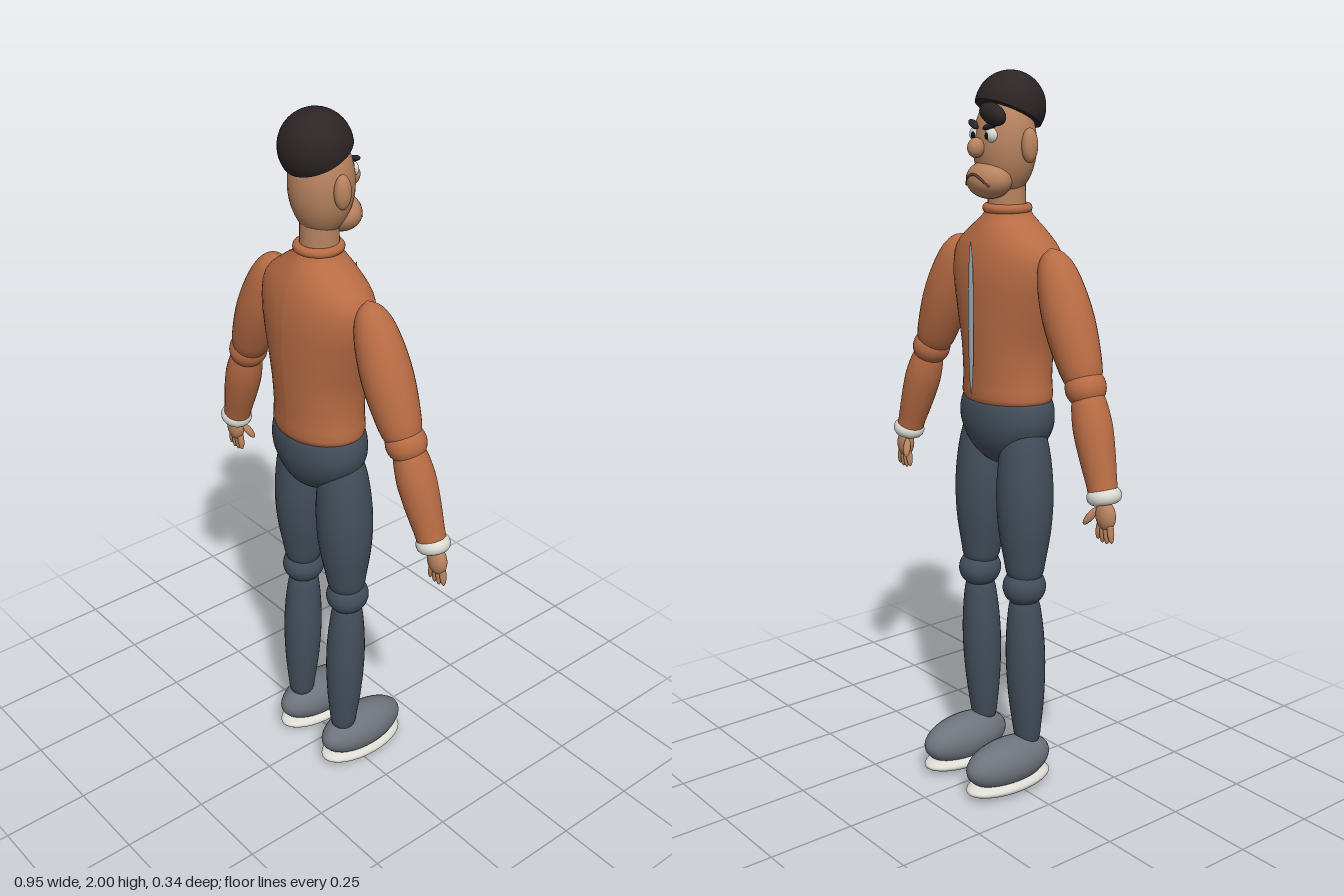
import * as THREE from 'three';

const mat = (name, color) => {
  const m = new THREE.MeshStandardMaterial({ color });
  m.name = name;
  return m;
};
const V = (x, y, z) => new THREE.Vector3(x, y, z);

export function createModel() {
  const skin = mat('skin', 0xb8835f), shirt = mat('shirt', 0xb86c44);
  const trousers = mat('trousers', 0x434e5b), shoeGrey = mat('shoeGrey', 0x6e747c);
  const white = mat('white', 0xdcdcd4), hairDark = mat('hairDark', 0x2c2425);
  const black = mat('black', 0x141214), mouthBrown = mat('mouthBrown', 0x6a4030);
  const metal = mat('metal', 0x93a0a8);
  const model = new THREE.Group();
  model.name = 'figure';

  const add = (name, geometry, material, pos = [0, 0, 0], rot = [0, 0, 0]) => {
    const mesh = new THREE.Mesh(geometry, material);
    mesh.name = name;
    mesh.position.set(...pos);
    mesh.rotation.set(...rot);
    model.add(mesh);
    return mesh;
  };
  // Ellipsoid from centre and half sizes
  const ball = (name, material, pos, size, rot) =>
    add(name, new THREE.SphereGeometry(1, 32, 20).scale(...size), material, pos, rot);
  // Round limb between two points; profile is [radius, fraction along]
  const limb = (name, material, a, b, profile) => {
    const from = V(...a), dir = V(...b).sub(from), len = dir.length();
    const pts = new THREE.SplineCurve(profile.map(([r, t]) => new THREE.Vector2(r, t * len))).getPoints(24);
    pts.forEach(p => { p.x = Math.max(p.x, 0); });
    const mesh = add(name, new THREE.LatheGeometry(pts, 28), material, a);
    mesh.quaternion.setFromUnitVectors(V(0, 1, 0), dir.normalize());
    return mesh;
  };
  // Oval hull through sections [y, half width, half depth], top to bottom
  const hull = (name, material, z, sections) => {
    const curve = new THREE.CatmullRomCurve3(sections.map(s => V(...s)), false, 'centripetal');
    const rows = 30, geo = new THREE.CylinderGeometry(1, 1, 1, 40, rows, true);
    const p = geo.attributes.position;
    for (let i = 0; i < p.count; i++) {
      const s = curve.getPoint(0.5 - p.getY(i) > 1 ? 1 : Math.max(0, 0.5 - p.getY(i)));
      p.setXYZ(i, p.getX(i) * s.y, s.x, p.getZ(i) * s.z);
    }
    geo.computeVertexNormals();
    return add(name, geo, material, [0, 0, z]);
  };

  // Body
  hull('torso', shirt, 0.049, [
    [1.645, 0.0, 0.0], [1.645, 0.055, 0.055], [1.625, 0.07, 0.068], [1.59, 0.12, 0.088], [1.54, 0.178, 0.107],
    [1.48, 0.186, 0.118], [1.4, 0.168, 0.121], [1.28, 0.138, 0.117], [1.19, 0.136, 0.111],
    [1.125, 0.139, 0.106], [1.12, 0.0, 0.0]]);
  hull('hips', trousers, 0.048, [
    [1.135, 0.0, 0.0], [1.135, 0.138, 0.103], [1.08, 0.154, 0.112], [1.03, 0.138, 0.104],
    [0.98, 0.09, 0.08], [0.945, 0.035, 0.035], [0.94, 0.0, 0.0]]);
  add('collar', new THREE.TorusGeometry(0.054, 0.013, 12, 32), shirt, [0, 1.645, 0.047], [Math.PI / 2, 0, 0]);
  add('neck', new THREE.CylinderGeometry(0.05, 0.052, 0.13, 28), skin, [0, 1.665, 0.045]);
  ball('zip', metal, [0, 1.36, -0.077], [0.008, 0.206, 0.007]);

  // Head and hair
  ball('head', skin, [0, 1.81, 0.038], [0.085, 0.136, 0.085]);
  ball('muzzle', skin, [0, 1.722, -0.015], [0.07, 0.05, 0.055]);
  ball('nose', skin, [0, 1.806, -0.058], [0.021, 0.026, 0.024]);
  add('hairCap', new THREE.SphereGeometry(0.094, 36, 20, 0, Math.PI * 2, 0, Math.PI * 0.565),
    hairDark, [0, 1.906, 0.056], [0.45, 0, 0]);
  add('hairUnderside', new THREE.CircleGeometry(0.092, 36).rotateX(Math.PI / 2).translate(0, -0.019, 0),
    hairDark, [0, 1.906, 0.056], [0.45, 0, 0]);
  ball('hairTuft', hairDark, [-0.04, 1.892, -0.035], [0.056, 0.028, 0.021], [0, -0.1, 0.2]);
  // Frowning mouth wrapped over the muzzle
  const frown = [-1, -0.5, 0, 0.5, 1].map(u => {
    const x = 0.048 * u, y = 0.016 - 0.03 * u * u;
    return V(x, 1.722 + y, -0.015 - 0.055 * Math.sqrt(1 - (x / 0.07) ** 2 - (y / 0.05) ** 2));
  });
  add('mouth', new THREE.TubeGeometry(new THREE.CatmullRomCurve3(frown), 24, 0.0035, 8), mouthBrown);

  for (const s of [1, -1]) {
    const side = s > 0 ? 'left' : 'right';
    const n = part => side + part;
    // Face
    ball(n('Ear'), skin, [s * 0.092, 1.812, 0.046], [0.02, 0.045, 0.023]);
    ball(n('Eye'), white, [s * 0.033, 1.838, -0.034], [0.02, 0.019, 0.013]);
    ball(n('Pupil'), black, [s * 0.029, 1.836, -0.045], [0.008, 0.009, 0.004]);
    ball(n('Brow'), hairDark, [s * 0.036, 1.863, -0.037], [0.027, 0.008, 0.012], [0, -s * 0.3, s * 0.35]);

    // Arm
    limb(n('UpperArm'), shirt, [s * 0.182, 1.558, 0.042], [s * 0.342, 1.19, 0.038],
      [[0, 0], [0.034, 0.06], [0.056, 0.2], [0.067, 0.45], [0.062, 0.7], [0.046, 0.9], [0, 1]]);
    ball(n('Elbow'), shirt, [s * 0.333, 1.217, 0.036], [0.053, 0.053, 0.055]);
    limb(n('Forearm'), shirt, [s * 0.335, 1.22, 0.036], [s * 0.433, 0.935, 0.018],
      [[0, 0], [0.038, 0.06], [0.051, 0.28], [0.05, 0.5], [0.041, 0.8], [0.034, 0.95], [0, 1]]);
    add(n('Cuff'), new THREE.TorusGeometry(0.028, 0.018, 14, 28).scale(1, 1, 1.15), white,
      [s * 0.429, 0.953, 0.019], [Math.PI / 2, s * 0.25, 0]);

    // Hand
    ball(n('Palm'), skin, [s * 0.441, 0.905, 0.014], [0.031, 0.04, 0.022], [0, 0, s * 0.15]);
    for (let i = 0; i < 4; i++) {
      const u = i - 1.5;
      ball(n('Finger' + (i + 1)), skin, [s * (0.442 + u * 0.014), 0.868 - (i === 1 || i === 2 ? 0.005 : 0), 0.012],
        [0.008, 0.032, 0.01], [0, 0, s * u * 0.1]);
    }
    ball(n('Thumb'), skin, [s * 0.407, 0.9, -0.006], [0.01, 0.03, 0.011], [0.5, 0, -s * 0.45]);

    // Leg
    limb(n('Thigh'), trousers, [s * 0.086, 1.1, 0.04], [s * 0.1, 0.6, 0.032],
      [[0, 0], [0.045, 0.06], [0.068, 0.2], [0.079, 0.42], [0.075, 0.63], [0.06, 0.82], [0.045, 0.94], [0, 1]]);
    ball(n('Knee'), trousers, [s * 0.1, 0.605, 0.03], [0.059, 0.056, 0.062]);
    limb(n('Shin'), trousers, [s * 0.1, 0.6, 0.029], [s * 0.1, 0.11, 0.045],
      [[0, 0], [0.036, 0.05], [0.05, 0.2], [0.056, 0.42], [0.052, 0.65], [0.042, 0.85], [0.032, 0.96], [0, 1]]);

    // Shoe
    ball(n('Shoe'), shoeGrey, [s * 0.1, 0.085, -0.026], [0.068, 0.069, 0.143]);
    ball(n('Sole'), white, [s * 0.1, 0.026, -0.026], [0.07, 0.026, 0.143]);
  }
  return model;
}
